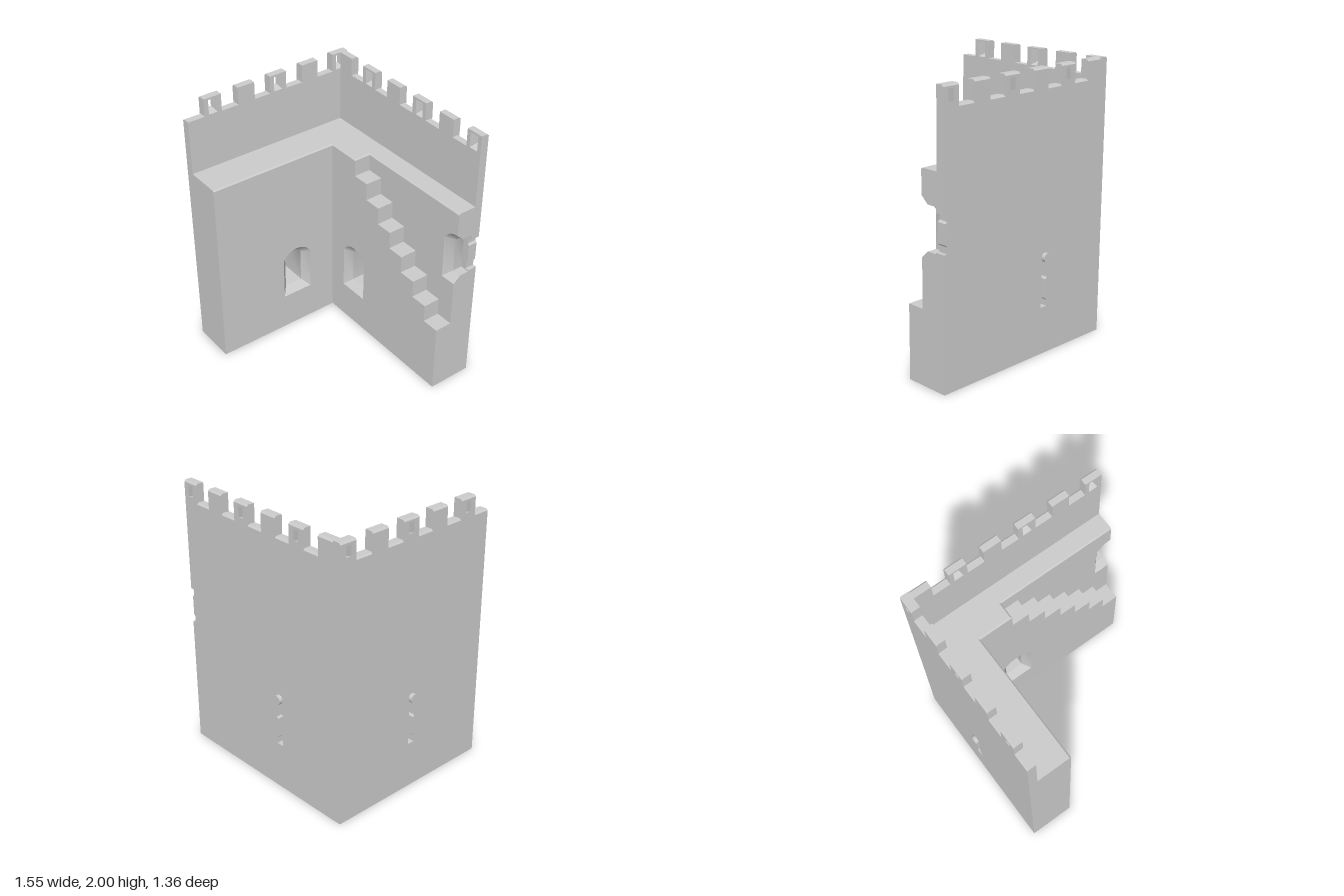
import * as THREE from 'three';
import { toCreasedNormals } from 'three/addons/utils/BufferGeometryUtils.js';

const TOP = 1.465, LIP = 1.455;      // walkway height and its bevelled edge
const BACK = -0.65, FRONT = -0.32;   // wall depth in its own frame
const LEDGE = -0.45;                 // face of the thinner wall above the stairs
const END = 0.77, INNER = -0.42;     // right end and inner corner
const v2 = pts => pts.map(p => new THREE.Vector2(p[0], p[1]));

// Collects lofted sides and flat faces into one mesh.
class Builder {
  constructor() { this.pos = []; }
  // sections: [z, points] from back to front; counter-clockwise points face outward
  loft(sections, closed = true) {
    for (let s = 0; s + 1 < sections.length; s++) {
      const [z0, a] = sections[s], [z1, b] = sections[s + 1], n = a.length;
      for (let i = 0; i < (closed ? n : n - 1); i++) {
        const j = (i + 1) % n;
        this.pos.push(...a[i], z0, ...a[j], z0, ...b[j], z1, ...a[i], z0, ...b[j], z1, ...b[i], z1);
      }
    }
  }
  face(z, outline, holes = [], toBack = false) {
    const shape = new THREE.Shape(v2(outline));
    shape.holes = holes.map(h => new THREE.Path(v2(h)));
    const p = new THREE.ShapeGeometry(shape).toNonIndexed().getAttribute('position');
    for (let i = 0; i < p.count; i += 3)
      for (const k of toBack ? [0, 2, 1] : [0, 1, 2]) this.pos.push(p.getX(i + k), p.getY(i + k), z);
  }
  mesh(name) {
    const g = new THREE.BufferGeometry();
    g.setAttribute('position', new THREE.Float32BufferAttribute(this.pos, 3));
    const m = new THREE.Mesh(toCreasedNormals(g, 0.5), new THREE.MeshStandardMaterial({ color: 0xcccccc }));
    m.name = name;
    return m;
  }
}

// Left half of an arched recess, bottom centre to top centre; t = 0 deep inside, 1 at the wall face
function halfArch(c, base, t) {
  const w = 0.07 + 0.05 * t, rise = 0.045 + 0.03 * t;
  const y0 = base + 0.05 * (1 - t), top = base + 0.355 + 0.05 * t;
  const r = (w * w + rise * rise) / (2 * rise), a = Math.asin(Math.min(1, w / r));
  const pts = [[c, y0], [c - w, y0]];
  for (let i = 0; i <= 8; i++) {
    const k = a * (1 - i / 8);
    pts.push([c - r * Math.sin(k), top - r + r * Math.cos(k)]);
  }
  return pts;
}

// Left half of an arrow slit with widened ends
function halfSlit(c, base) {
  const y = base + 0.06;
  return [[0, 0], [0.028, 0], [0.028, 0.045], [0.015, 0.058], [0.015, 0.197], [0.028, 0.21], [0.028, 0.255], [0, 0.255]]
    .map(([x, h]) => [c - x, y + h]);
}

// Completes a half contour by mirroring (clockwise, as needed for holes)
const full = half => [...half, ...half.slice(1, -1).reverse().map(([x, y]) => [2 * half[0][0] - x, y])];

// Arched recess ending in an arrow slit
function addWindow(b, c, base, z0, z1) {
  const slit = full(halfSlit(c, base)), deep = full(halfArch(c, base, 0)), wide = full(halfArch(c, base, 1));
  b.loft([[z0, slit], [z0 + 0.07, slit]]);
  b.face(z0 + 0.07, deep, [slit]);
  b.loft([[z0 + 0.07, deep], [z1 - 0.055, deep], [z1, wide]]);
  return { slit, wide };
}

// Battlement: merlons are [from, to, hasLoophole], listed right to left
function battlement(name, u0, u1, z0, z1, merlons) {
  const b = new Builder();
  const outline = drop => {
    const lo = 1.87 - drop, hi = 2 - drop, pts = [[u0, TOP], [u1, TOP]];
    if (merlons[0][1] < u1) pts.push([u1, lo]);
    for (const [from, to] of merlons) {
      if (to < u1) pts.push([to, lo]);
      pts.push([to, hi], [from, hi]);
      if (from > u0) pts.push([from, lo]);
    }
    if (merlons[merlons.length - 1][0] > u0) pts.push([u0, lo]);
    return pts;
  };
  const hole = (c, w, y0, y1) => [[c - w, y0], [c - w, y1], [c + w, y1], [c + w, y0]];
  const centres = merlons.filter(m => m[2]).map(m => (m[0] + m[1]) / 2);
  const small = centres.map(c => hole(c, 0.022, 1.895, 1.972));
  const large = centres.map(c => hole(c, 0.034, 1.875, 1.985));
  b.loft([[z0, outline(0.012)], [z0 + 0.012, outline(0)], [z1, outline(0)]]);
  b.face(z0, outline(0.012), small, true);
  b.face(z1, outline(0), large);
  small.forEach((s, i) => b.loft([[z0, s], [z1, large[i]]]));
  return b.mesh(name);
}

// Round peg on the outside above an arrow slit
function peg(name, u, z) {
  const m = new THREE.Mesh(new THREE.CylinderGeometry(0.033, 0.033, 0.036, 20),
    new THREE.MeshStandardMaterial({ color: 0xcccccc }));
  m.rotation.x = Math.PI / 2;
  m.position.set(u, 0.705, z - 0.008);
  m.name = name;
  return m;
}

function backWall() {
  const b = new Builder(), cx = -0.16, base = 0.285, upper = 0.885;
  // step profile, climbing from the right end to the landing
  const steps = [];
  for (let i = 6; i >= 0; i--) {
    const y = 1.33 - 0.1325 * i, x = -0.16 + 0.133 * i;
    steps.push([i === 6 ? END : x + 0.133, y], [x, y]);
  }
  const { slit, wide } = addWindow(b, cx, base, BACK, FRONT);

  // thin wall with half a window cut into its right end
  const outline = (notch, top) => [[INNER, 0], [END, 0], ...notch,
    [END, top], [-0.16, top], [-0.17, TOP], [INNER, TOP]];
  const cut = t => halfArch(END, upper, t), cutSlit = halfSlit(END, upper), step = BACK + 0.07;
  b.loft([[BACK, outline(cutSlit, TOP)], [step, outline(cutSlit, TOP)]], false);
  b.loft([[step, outline(cut(0), TOP)], [LEDGE - 0.055, outline(cut(0), TOP)],
    [LEDGE - 0.01, outline(cut(0.82), TOP)], [LEDGE, outline(cut(1), LIP)]], false);
  b.face(step, [...cut(0), ...cutSlit.slice().reverse()]);
  b.face(BACK, outline(cutSlit, TOP), [slit], true);
  b.face(LEDGE, [...cut(1), [END, LIP], [-0.16, LIP], ...steps.slice().reverse()]);

  // stairs and landing
  const stair = top => [[INNER, 0], [END, 0], ...steps, [-0.16, LIP], [-0.17, top], [INNER, top]];
  b.loft([[LEDGE, stair(TOP)], [FRONT - 0.01, stair(TOP)], [FRONT, stair(LIP)]], false);
  b.face(FRONT, stair(LIP), [wide]);
  return b.mesh('backWallWithStairs');
}

// Side wall in its own frame, running along u with its outside at z = -0.75
function sideWall() {
  const b = new Builder(), z0 = -0.75, u0 = -0.68, u1 = 0.65;
  const { slit, wide } = addWindow(b, -0.013, 0.285, z0, INNER);
  const outline = top => [[u0, 0], [u1, 0], [u1, TOP], [0.33, TOP], [0.32, top], [u0, top]];
  b.loft([[z0, outline(TOP)], [INNER - 0.01, outline(TOP)], [INNER, outline(LIP)]]);
  b.face(z0, outline(TOP), [slit], true);
  b.face(INNER, [[u0, 0], [0.32, 0], [0.32, LIP], [u0, LIP]], [wide]);
  return b.mesh('sideWall');
}

export function createModel() {
  const model = new THREE.Group();
  model.name = 'castleCorner';

  const back = new THREE.Group();
  back.name = 'backSide';
  back.add(backWall(), peg('backPeg', -0.163, BACK),
    battlement('backBattlement', -0.685, END, BACK, -0.59, [
      [0.64, END, true], [0.375, 0.51], [0.108, 0.242, true],
      [-0.16, -0.025], [-0.425, -0.29, true], [-0.685, -0.555]]));

  const side = new THREE.Group();
  side.name = 'rightSide';
  side.rotation.y = Math.PI / 2;
  side.add(sideWall(), peg('sidePeg', -0.01, -0.75),
    battlement('sideBattlement', -0.68, 0.65, -0.75, -0.685, [
      [0.52, 0.65, true], [0.25, 0.385], [-0.02, 0.115, true],
      [-0.282, -0.148], [-0.55, -0.415, true]]));

  model.add(back, side);
  return model;
}
